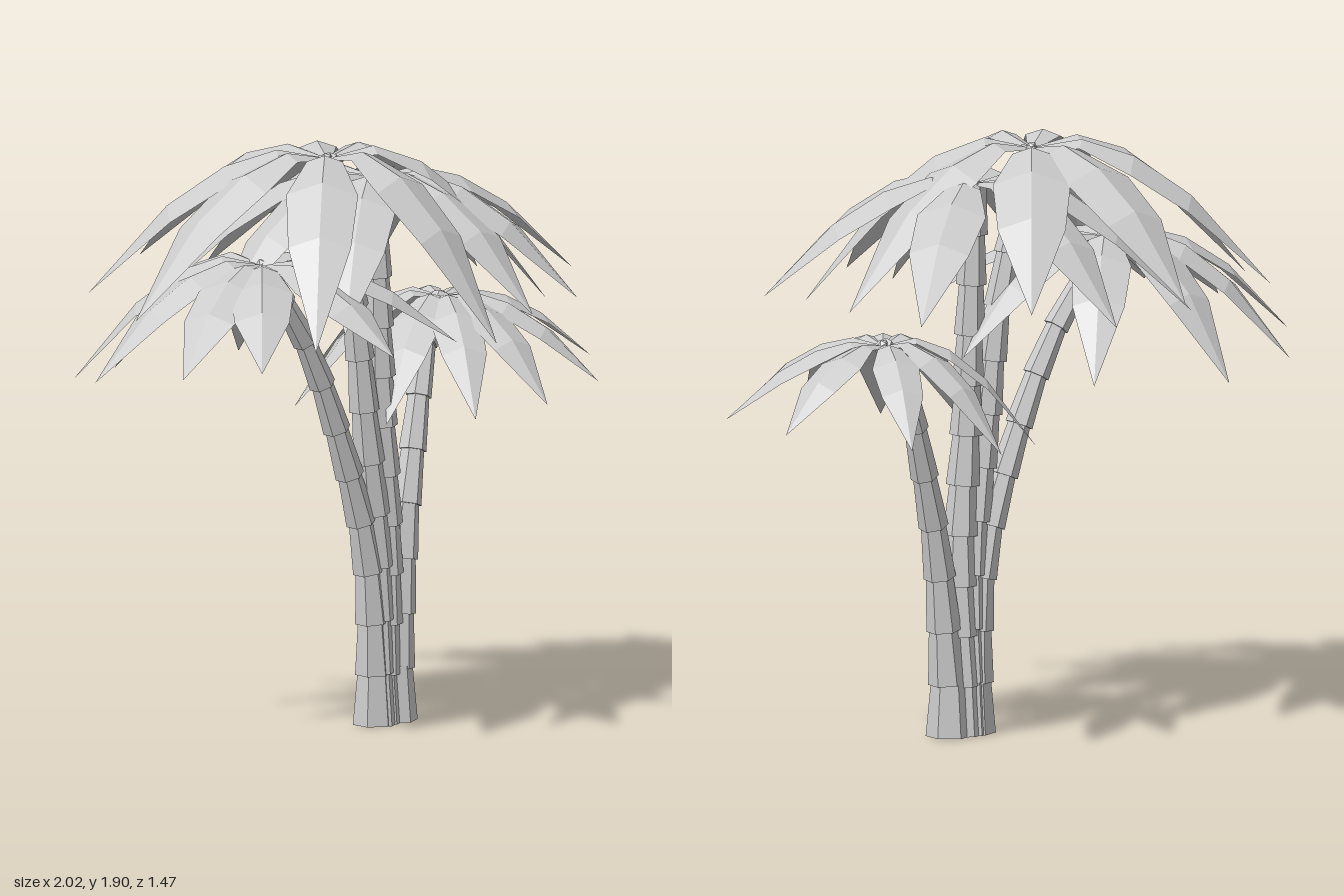
import * as THREE from 'three';

const paleGrey = new THREE.MeshStandardMaterial({ color: 0xcccccc });
paleGrey.name = 'paleGrey';
paleGrey.side = THREE.DoubleSide;

const UP = new THREE.Vector3(0, 1, 0);

function flat(geometry) {
  const g = geometry.index ? geometry.toNonIndexed() : geometry;
  g.computeVertexNormals();
  return g;
}

function part(name, geometry) {
  const mesh = new THREE.Mesh(flat(geometry), paleGrey);
  mesh.name = name;
  return mesh;
}

// Stack of six-sided collars, each wider at its foot than at its head
function buildTrunk(curve, segments, footRadius, headRadius) {
  const trunk = new THREE.Group();
  trunk.name = 'trunk';
  for (let i = 0; i < segments; i++) {
    const a = curve.getPointAt(i / segments);
    const b = curve.getPointAt((i + 1) / segments);
    const dir = b.clone().sub(a);
    const height = dir.length() * 1.04;
    const r = THREE.MathUtils.lerp(footRadius, headRadius, Math.sqrt(i / (segments - 1)));
    const collar = part('trunkCollar', new THREE.CylinderGeometry(r * 0.88, r * 1.14, height, 6));
    collar.position.copy(a).add(b).multiplyScalar(0.5);
    // The lowest collar stands upright on the ground
    if (i === 0) collar.position.y = height / 2;
    else collar.quaternion.setFromUnitVectors(UP, dir.normalize());
    trunk.add(collar);
  }
  return trunk;
}

// Leaf cross-sections: distance along, droop, half width
const SECTIONS = [
  [0, 0, 0.02], [0.21, -0.07, 0.08], [0.43, 0.05, 0.16], [0.67, 0.34, 0.14], [1, 1, 0],
];

// Arched leaf along +x, folded down on both sides of a raised midrib
function buildLeaf(length, drop) {
  const rows = SECTIONS.map(([t, droop, width]) => [-1, 0, 1].map((s) => {
    const w = width * length;
    return new THREE.Vector3(t * length, -drop * droop - Math.abs(s) * w * 0.35, s * w);
  }));
  const points = [];
  for (let i = 0; i < rows.length - 1; i++) {
    for (let j = 0; j < 2; j++) {
      const a = rows[i][j], b = rows[i][j + 1], c = rows[i + 1][j + 1], d = rows[i + 1][j];
      if (i < rows.length - 2) points.push(a, b, c, a, c, d);
      else points.push(a, b, c); // both far corners meet in the tip
    }
  }
  return part('leaf', new THREE.BufferGeometry().setFromPoints(points));
}

// Leaves around a bud; angles in degrees from +x towards +z.
// tilt lifts leaves pointing to +x and +z, frontStretch lengthens those at the front.
function buildCrown({ angles, reach, drop, tiltX = 0, tiltZ = 0, frontStretch = 0 }) {
  const crown = new THREE.Group();
  crown.name = 'crown';
  for (const degrees of angles) {
    const angle = THREE.MathUtils.degToRad(degrees);
    const dx = Math.cos(angle), dz = Math.sin(angle);
    const leaf = buildLeaf(reach * (1 + frontStretch * dz), drop - tiltX * dx - tiltZ * dz);
    leaf.rotation.y = -angle;
    crown.add(leaf);
  }
  crown.add(part('bud', new THREE.IcosahedronGeometry(0.02, 0)));
  return crown;
}

function buildPalm(name, { path, segments, footRadius, headRadius, crown }) {
  const palm = new THREE.Group();
  palm.name = name;
  const curve = new THREE.CatmullRomCurve3(path.map((p) => new THREE.Vector3(...p)));
  const leaves = buildCrown(crown);
  leaves.position.copy(curve.getPoint(1));
  palm.add(buildTrunk(curve, segments, footRadius, headRadius), leaves);
  return palm;
}

export function createModel() {
  const model = new THREE.Group();
  model.name = 'palmCluster';
  model.add(
    buildPalm('tallPalm', {
      path: [[0.11, 0, -0.01], [0.1, 0.55, 0], [0.04, 1, 0.01], [-0.01, 1.4, 0.01], [-0.14, 1.86, 0.03]],
      segments: 11, footRadius: 0.062, headRadius: 0.038,
      crown: {
        angles: [352, 27, 82, 135, 187, 217, 262, 301],
        reach: 0.74, drop: 0.46, tiltZ: -0.06, frontStretch: -0.05,
      },
    }),
    buildPalm('straightPalm', {
      path: [[0.14, 0, -0.02], [0.15, 0.6, -0.01], [0.12, 1, 0], [0.09, 1.77, 0]],
      segments: 11, footRadius: 0.06, headRadius: 0.042,
      crown: {
        angles: [19, 60, 84, 140, 180, 220, 261, 315],
        reach: 0.69, drop: 0.37, tiltX: 0.03, frontStretch: -0.02,
      },
    }),
    buildPalm('leftLeaningPalm', {
      path: [[0.1, 0, -0.01], [0.06, 0.54, 0], [-0.05, 0.89, 0.01], [-0.21, 1.25, 0.02], [-0.42, 1.55, 0.03]],
      segments: 10, footRadius: 0.06, headRadius: 0.035,
      crown: {
        angles: [90, 132, 156, 193, 224, 260, 305, 350, 45],
        reach: 0.61, drop: 0.31, tiltZ: 0.09, frontStretch: 0.03,
      },
    }),
    buildPalm('shortPalm', {
      path: [[0.19, 0, -0.02], [0.25, 0.6, -0.035], [0.33, 0.9, -0.075], [0.44, 1.2, -0.135], [0.53, 1.31, -0.17]],
      segments: 8, footRadius: 0.065, headRadius: 0.035,
      crown: {
        angles: [340, 21, 59, 92, 120, 152, 205, 249, 290],
        reach: 0.5, drop: 0.28, tiltX: 0.06, frontStretch: 0.05,
      },
    }),
  );
  return model;
}
